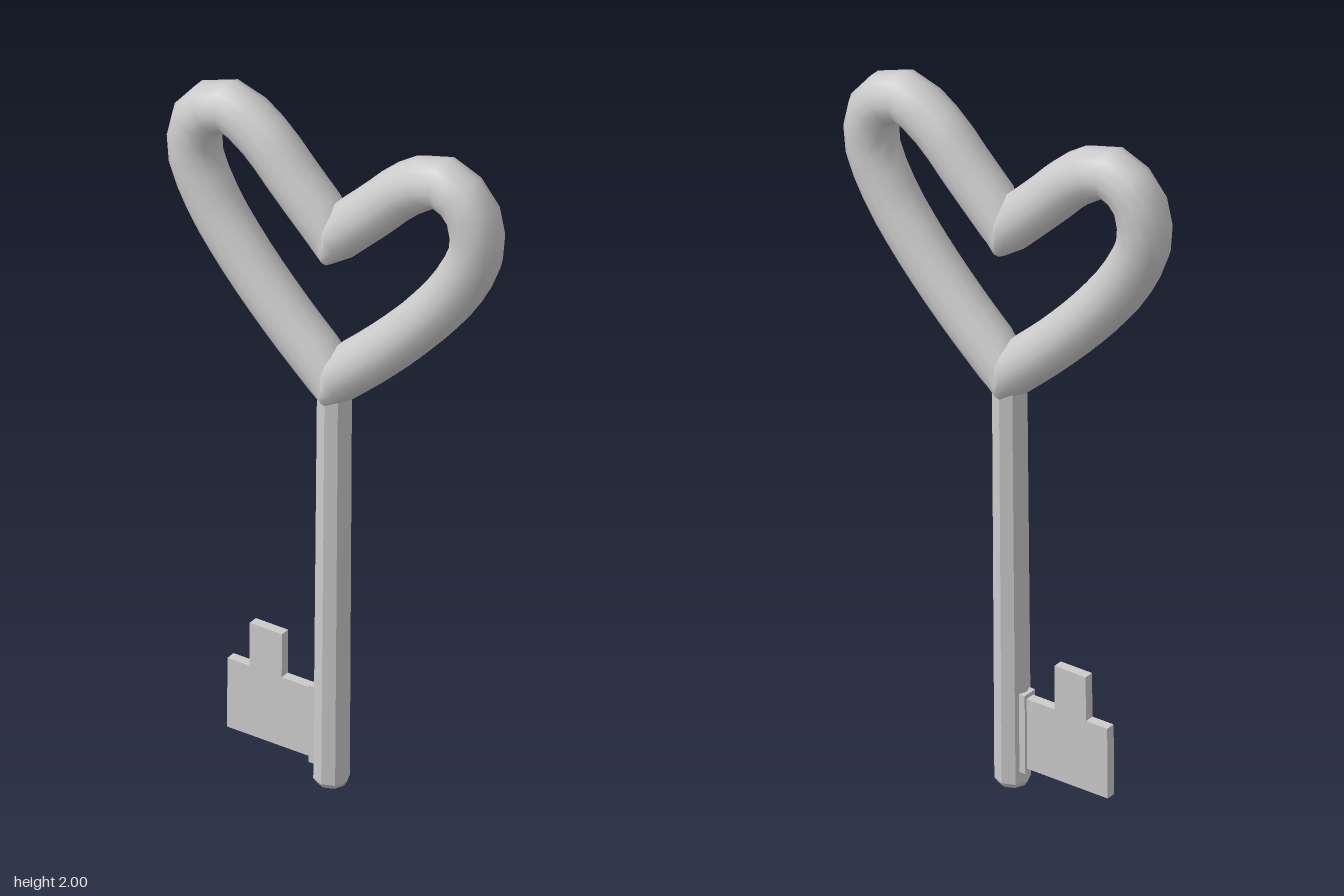
import * as THREE from 'three';

const material = new THREE.MeshStandardMaterial({ color: 0xcccccc });
const flatMaterial = new THREE.MeshStandardMaterial({ color: 0xcccccc, flatShading: true });

function box(name, x0, x1, y0, y1, depth) {
  const mesh = new THREE.Mesh(new THREE.BoxGeometry(x1 - x0, y1 - y0, depth), flatMaterial);
  mesh.position.set((x0 + x1) / 2, (y0 + y1) / 2, 0);
  mesh.name = name;
  return mesh;
}

// One half of the heart: a tube whose ends are trimmed to the x = 0 plane
function heartHalfGeometry() {
  const points = [
    [-0.025, 1.2], [0.15, 1.36], [0.29, 1.51], [0.385, 1.64], [0.438, 1.77],
    [0.415, 1.88], [0.33, 1.929], [0.23, 1.88], [0.12, 1.772], [-0.03, 1.625],
  ].map(([x, y]) => new THREE.Vector3(x, y, 0));
  const segments = 24, sides = 14;
  const geometry = new THREE.TubeGeometry(new THREE.CatmullRomCurve3(points), segments, 0.072, sides);
  const p = geometry.attributes.position;
  for (let i = 0; i < p.count; i++) {
    const ring = Math.floor(i / (sides + 1));
    if (ring === 0 || ring === segments || p.getX(i) < 0) p.setX(i, 0);
  }
  return geometry;
}

export function createModel() {
  const model = new THREE.Group();
  model.name = 'heartKey';

  // The whole key leans back very slightly
  const key = new THREE.Group();
  key.name = 'key';
  key.position.z = 0.02;
  key.rotation.x = -0.0115;
  model.add(key);

  // Heart-shaped bow, mirrored left and right
  const half = heartHalfGeometry();
  for (const side of [1, -1]) {
    const mesh = new THREE.Mesh(half, material);
    mesh.name = side > 0 ? 'bowLeft' : 'bowRight';
    mesh.scale.x = side;
    key.add(mesh);
  }

  // Eight-sided shaft with a bevelled foot
  const shaft = new THREE.Mesh(new THREE.CylinderGeometry(0.046, 0.048, 1.185, 8), flatMaterial);
  shaft.position.y = 0.015 + 1.185 / 2;
  shaft.name = 'shaft';
  const foot = new THREE.Mesh(new THREE.CylinderGeometry(0.048, 0.038, 0.015, 8), flatMaterial);
  foot.position.y = 0.0075;
  foot.name = 'shaftFoot';
  key.add(shaft, foot);

  // Bit: root against the shaft, plate and upward tooth
  key.add(
    box('bitRoot', -0.057, -0.02, 0.05, 0.282, 0.045),
    box('bitPlate', -0.315, -0.03, 0.062, 0.27, 0.028),
    box('bitTooth', -0.247, -0.147, 0.25, 0.4, 0.028),
  );

  return model;
}
